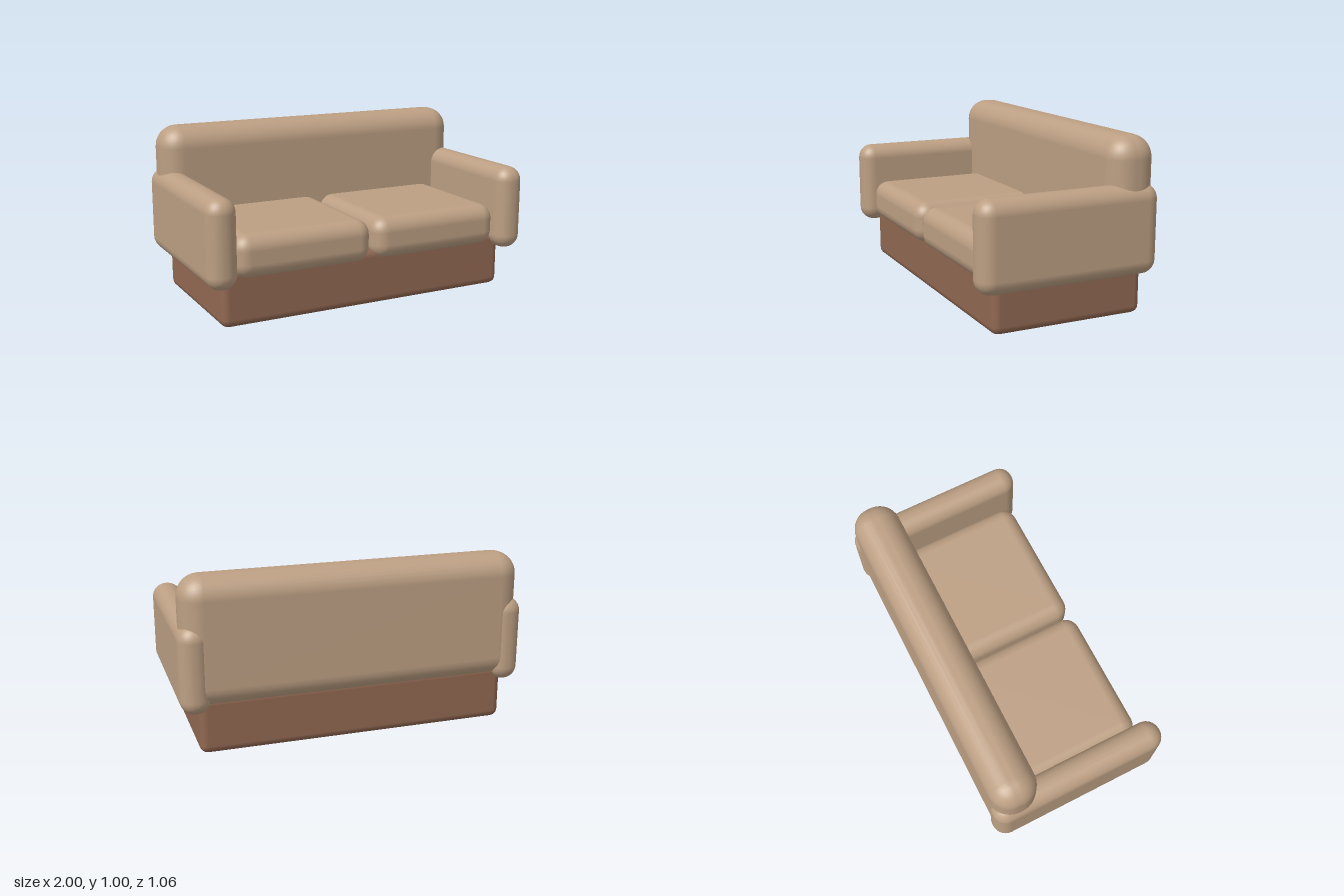
import * as THREE from 'three';
import { RoundedBoxGeometry } from 'three/addons/geometries/RoundedBoxGeometry.js';

export function createModel() {
  const sofa = new THREE.Group();
  sofa.name = 'sofa';

  const fabric = new THREE.MeshStandardMaterial({ color: 0xbc9f83 });
  fabric.name = 'tan fabric';
  const wood = new THREE.MeshStandardMaterial({ color: 0x916852 });
  wood.name = 'brown base';

  // Rounded block given by its extents on each axis
  function block(name, [x0, x1], [y0, y1], [z0, z1], radius, segments, material) {
    const geometry = new RoundedBoxGeometry(x1 - x0, y1 - y0, z1 - z0, segments, radius);
    const mesh = new THREE.Mesh(geometry, material);
    mesh.name = name;
    mesh.position.set((x0 + x1) / 2, (y0 + y1) / 2, (z0 + z1) / 2);
    sofa.add(mesh);
    return mesh;
  }

  // Plinth and backrest
  block('base', [-0.9, 0.9], [0, 0.33], [-0.48, 0.42], 0.045, 2, wood);
  block('backrest', [-0.98, 0.98], [0.265, 1], [-0.52, -0.245], 0.125, 4, fabric);

  // Mirrored armrests and seat cushions
  for (const [side, s] of [['left', 1], ['right', -1]]) {
    const span = (a, b) => (s > 0 ? [a, b] : [-b, -a]);
    block(side + 'Armrest', span(0.828, 1), [0.24, 0.74], [-0.53, 0.53], 0.083, 4, fabric);
    block(side + 'SeatCushion', span(0.008, 0.832), [0.27, 0.515], [-0.38, 0.475], 0.085, 4, fabric);
  }

  return sofa;
}
